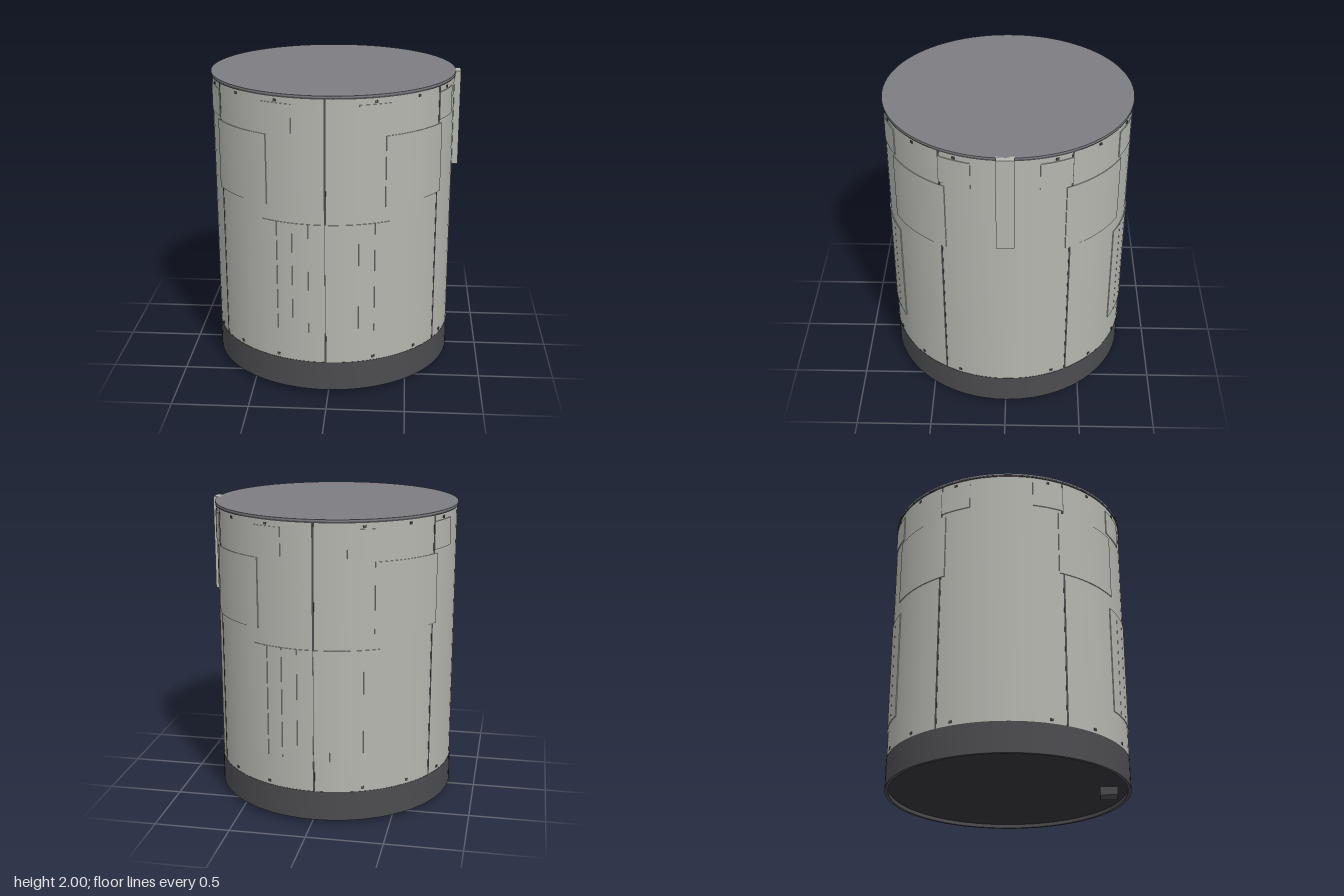
import * as THREE from 'three';
import { toCreasedNormals } from 'three/addons/utils/BufferGeometryUtils.js';

const R = 0.804;      // shell radius
const CX = -0.017;    // shell axis, shifted to make room for the side rail

const paint = (name, color) => {
  const m = new THREE.MeshStandardMaterial({ color });
  m.name = name;
  return m;
};

export function createModel() {
  const shellGrey = paint('shell grey', 0xb6b6b0);
  const lidGrey = paint('lid grey', 0x7c7c81);
  const bandGrey = paint('band grey', 0x4c4b4f);
  const darkGrey = paint('dark grey', 0x343437);

  const model = new THREE.Group();
  model.name = 'drum';
  const drum = new THREE.Group();
  drum.name = 'drumAssembly';
  drum.position.x = CX;
  model.add(drum);

  const add = (name, geometry, material, parent = drum) => {
    const mesh = new THREE.Mesh(geometry, material);
    mesh.name = name;
    parent.add(mesh);
    return mesh;
  };

  // Solid of revolution with crisp corners
  const turned = (name, profile, material) => {
    const points = profile.map(([r, y]) => new THREE.Vector2(r, y));
    return add(name, toCreasedNormals(new THREE.LatheGeometry(points, 96), 0.5), material);
  };

  // Thin curved plate wrapped on the shell, angles in degrees from the front
  const plate = (name, from, to, y0, y1, proud, material) => {
    const a = THREE.MathUtils.degToRad(from - 90);
    const b = THREE.MathUtils.degToRad(to - 90);
    const shape = new THREE.Shape();
    shape.absarc(0, 0, R + proud, a, b, false);
    shape.absarc(0, 0, R - 0.004, b, a, true);
    const geometry = new THREE.ExtrudeGeometry(shape, {
      depth: y1 - y0, bevelEnabled: false, curveSegments: 10,
    });
    geometry.rotateX(-Math.PI / 2).translate(0, y0, 0);
    return add(name, toCreasedNormals(geometry, 0.5), material);
  };

  // Main shell, base band with recessed underside, and lid
  turned('shell', [[R, 0.23], [R, 1.98]], shellGrey);
  turned('baseBand', [[0.785, 0.06], [0.785, 0.03], [0.806, 0.03], [0.806, 0.23], [0.79, 0.23]], bandGrey);
  turned('underside', [[0, 0.055], [0.786, 0.055]], darkGrey);
  turned('lidLip', [[0.79, 1.978], [0.809, 1.978], [0.809, 1.988]], bandGrey);
  turned('lid', [[0.79, 1.988], [0.81, 1.988], [0.81, 2], [0, 2]], lidGrey);

  // Six vertical seams
  for (let a = 0; a < 360; a += 60) {
    plate('seam', a - 0.45, a + 0.45, 0.23, 1.98, 0.0015, bandGrey);
  }

  // Slatted vents on front and back
  for (const side of [0, 180]) {
    for (let i = 0; i < 8; i++) {
      const a = side - 30 + i * 7.5;
      plate('ventSlat', a + 0.12, a + 7.38, 0.44, 1.18, 0.005, shellGrey);
    }
  }

  // Four large panels, each with a pair of small panels above
  for (let a = 45; a < 360; a += 90) {
    plate('largePanel', a - 17.5, a + 17.5, 1.28, 1.735, 0.005, shellGrey);
    for (const s of [-22.5, 22.5]) {
      plate('smallPanel', a + s - 7.5, a + s + 7.5, 1.76, 1.94, 0.005, shellGrey);
    }
  }

  // Fasteners around the top and bottom edges
  for (let i = 0; i < 16; i++) {
    if (i % 4 === 0) continue;
    const a = i * 22.5;
    for (const y of [0.255, 1.955]) {
      plate('fastener', a - 0.7, a + 0.7, y - 0.008, y + 0.008, 0.004, bandGrey);
    }
  }

  // Side rail
  add('sideRail', new THREE.BoxGeometry(0.055, 0.635, 0.112), shellGrey, model)
    .position.set(0.7975, 1.6825, 0);

  // Small foot under the front, slightly tapered
  const foot = new THREE.CylinderGeometry(0.06 * Math.SQRT2, 0.056 * Math.SQRT2, 0.056, 4, 1);
  foot.rotateY(Math.PI / 4);
  add('foot', toCreasedNormals(foot, 0.5), bandGrey).position.set(0, 0.028, 0.66);

  return model;
}
